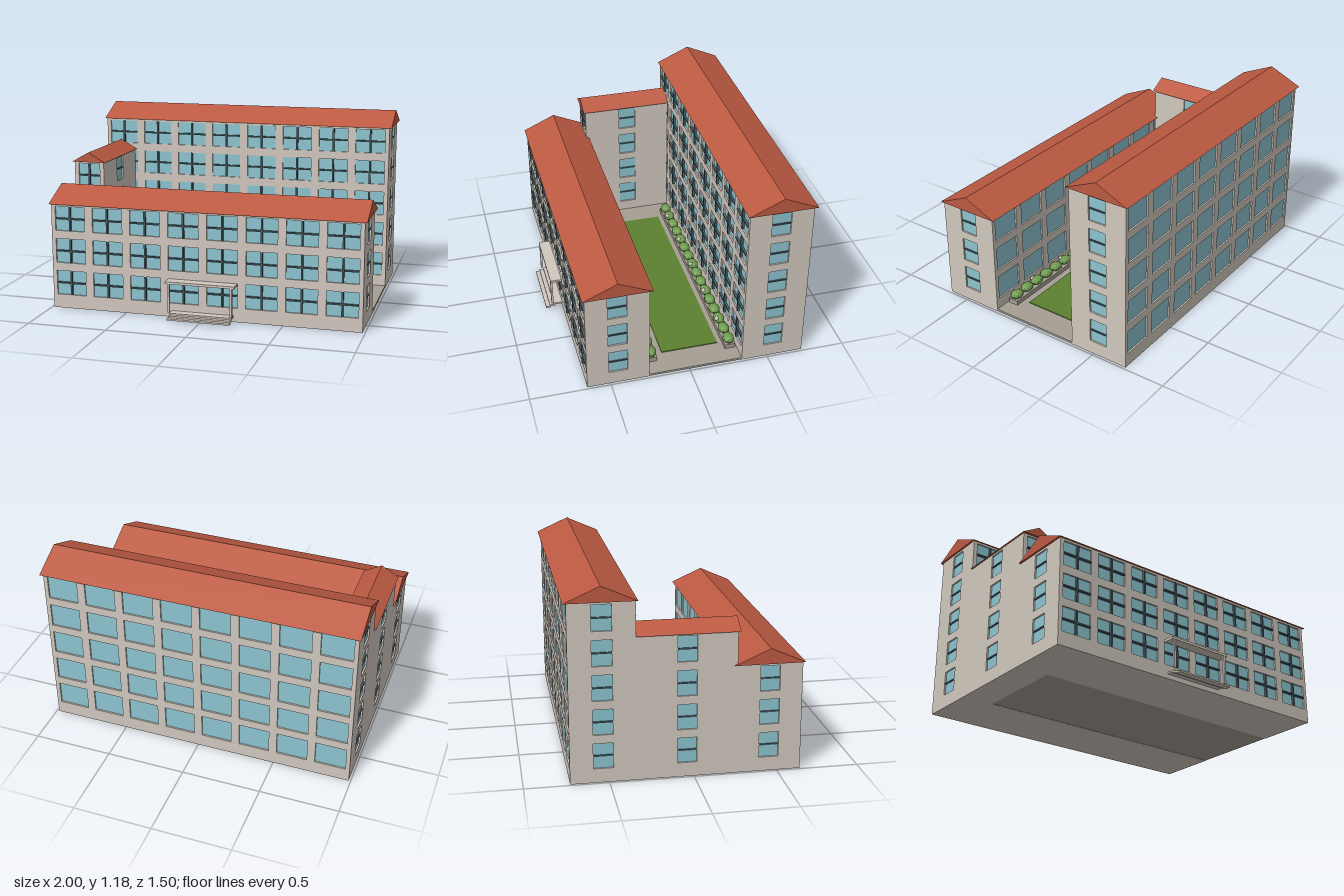
import * as THREE from 'three';

const mat = (name, color, extra = {}) => {
  const m = new THREE.MeshStandardMaterial({ color, ...extra });
  m.name = name;
  return m;
};

export function createModel() {
  const model = new THREE.Group();
  model.name = 'courtyardBuilding';
  const wall = mat('wall stone', 0xd1c8be);
  const roofTile = mat('roof tile', 0xbc5a42);
  const glass = mat('window glass', 0x8cc4d1);
  const frame = mat('window frame', 0x48595e);
  const paving = mat('paving', 0xa69e93);
  const grass = mat('grass', 0x5b812f);
  const leaf = mat('leaf', 0x6f9c50, { flatShading: true });
  const DEPTH = 0.012; // window reveal

  function add(parent, name, geometry, material, x = 0, y = 0, z = 0) {
    const m = new THREE.Mesh(geometry, material);
    m.name = name;
    m.position.set(x, y, z);
    parent.add(m);
    return m;
  }
  // box from its minimum and maximum corners
  function box(parent, name, material, [x0, x1], [y0, y1], [z0, z1]) {
    return add(parent, name, new THREE.BoxGeometry(x1 - x0, y1 - y0, z1 - z0), material,
      (x0 + x1) / 2, (y0 + y1) / 2, (z0 + z1) / 2);
  }

  // wall panel facing local +z, with recessed windows and glazing bars
  function facade(parent, name, width, height, columns, floors, winW, bars) {
    const g = new THREE.Group();
    g.name = name;
    parent.add(g);
    const shape = new THREE.Shape();
    const rect = (path, x, y, w, h) => {
      path.moveTo(x, y);
      path.lineTo(x + w, y);
      path.lineTo(x + w, y + h);
      path.lineTo(x, y + h);
      path.closePath();
    };
    rect(shape, -width / 2, 0, width, height);
    const winH = 0.155;
    for (let f = 0; f < floors; f++) {
      const y = 0.165 + f * 0.2072;
      for (const x of columns) {
        const hole = new THREE.Path();
        rect(hole, x - winW / 2, y - winH / 2, winW, winH);
        shape.holes.push(hole);
        add(g, 'windowPane', new THREE.PlaneGeometry(winW, winH), glass, x, y, -DEPTH + 0.002);
        if (bars !== 'none') {
          const out = bars === 'cross' ? 0.005 : -0.003;
          const d = out + DEPTH, z = (out - DEPTH) / 2;
          add(g, 'horizontalBar', new THREE.BoxGeometry(winW, 0.009, d), frame, x, y, z);
          if (bars === 'cross')
            add(g, 'verticalBar', new THREE.BoxGeometry(0.011, winH, d), frame, x, y, z);
        }
      }
    }
    const geo = new THREE.ExtrudeGeometry(shape, { depth: DEPTH, bevelEnabled: false });
    add(g, 'wallPanel', geo, wall, 0, 0, -DEPTH);
    return g;
  }

  // gable roof prism with its ridge along local z
  function gable(parent, name, width, rise, length) {
    const s = new THREE.Shape();
    s.moveTo(-width / 2, 0);
    s.lineTo(width / 2, 0);
    s.lineTo(0, rise);
    s.closePath();
    const geo = new THREE.ExtrudeGeometry(s, { depth: length, bevelEnabled: false });
    geo.translate(0, 0, -length / 2);
    return add(parent, name, geo, roofTile);
  }

  function wing(name, [x0, x1], [z0, z1], height, floors, longCols, longW, sideW) {
    const g = new THREE.Group();
    g.name = name;
    model.add(g);
    const cx = (x0 + x1) / 2, cz = (z0 + z1) / 2, w = x1 - x0, d = z1 - z0;
    box(g, 'core', wall, [x0 + DEPTH, x1 - DEPTH], [0, height], [z0 + DEPTH, z1 - DEPTH]);
    facade(g, 'frontWall', w, height, longCols, floors, longW, 'cross').position.set(cx, 0, z1);
    const back = facade(g, 'backWall', w, height, longCols, floors, longW, 'none');
    back.position.set(cx, 0, z0);
    back.rotation.y = Math.PI;
    for (const [side, x] of [[1, x1], [-1, x0]]) {
      const end = facade(g, side > 0 ? 'leftWall' : 'rightWall', d, height, [0], floors, sideW, 'horizontal');
      end.position.set(x, 0, cz);
      end.rotation.y = side * Math.PI / 2;
    }
    return g;
  }

  // three wings around the court
  const columns = Array.from({ length: 8 }, (_, i) => (i - 3.5) * 0.2465);
  const X = [-0.988, 0.985];
  const front = wing('frontWing', X, [0.255, 0.645], 0.67, 3, columns, 0.195, 0.118);
  const rear = wing('rearWing', X, [-0.73, -0.337], 1.085, 5, columns, 0.195, 0.118);
  const link = wing('linkWing', [-0.988, -0.787], [-0.337, 0.255], 0.875, 4, [0], 0.145, 0.116);

  // roofs
  for (const [g, y, z] of [[front, 0.67, 0.447], [rear, 1.085, -0.537]]) {
    const r = gable(g, 'gableRoof', 0.425, 0.095, 2);
    r.rotation.y = Math.PI / 2;
    r.position.set(0, y, z);
  }
  gable(link, 'linkRoof', 0.226, 0.064, 0.607).position.set(-0.887, 0.875, -0.034);

  // court paving and lawn
  box(model, 'courtPaving', paving, [-0.787, 0.985], [0.002, 0.016], [-0.337, 0.255]);
  box(model, 'lawn', grass, [-0.62, 0.815], [0.014, 0.022], [-0.228, 0.135]);

  // planters with shrubs and small blossoms
  const shrubGeo = new THREE.IcosahedronGeometry(1, 1);
  const blossomGeo = new THREE.IcosahedronGeometry(0.014, 1);
  for (const z of [0.213, -0.293]) {
    const g = new THREE.Group();
    g.name = 'planterRow';
    model.add(g);
    box(g, 'planter', paving, [-0.69, 0.88], [0.015, 0.046], [z - 0.033, z + 0.033]);
    for (let i = 0; i < 16; i++) {
      const x = -0.645 + i * 0.099;
      add(g, 'shrub', shrubGeo, leaf, x, 0.068, z).scale.set(0.048, 0.028, 0.036);
      if (i % 3 === 1) add(g, 'blossom', blossomGeo, wall, x + 0.02, 0.084, z + 0.02);
    }
  }

  // entrance porch
  const porch = new THREE.Group();
  porch.name = 'entrancePorch';
  model.add(porch);
  box(porch, 'canopy', wall, [-0.222, 0.217], [0.228, 0.243], [0.645, 0.717]);
  for (const x of [-0.2, 0.195])
    box(porch, 'post', wall, [x - 0.007, x + 0.007], [0.048, 0.228], [0.703, 0.716]);
  for (let i = 0; i < 3; i++)
    box(porch, 'step', wall, [-0.2, 0.195], [0.01 + i * 0.01, 0.02 + i * 0.01],
      [i === 2 ? 0.645 : 0.72 - i * 0.028, 0.753 - i * 0.026]);

  return model;
}
